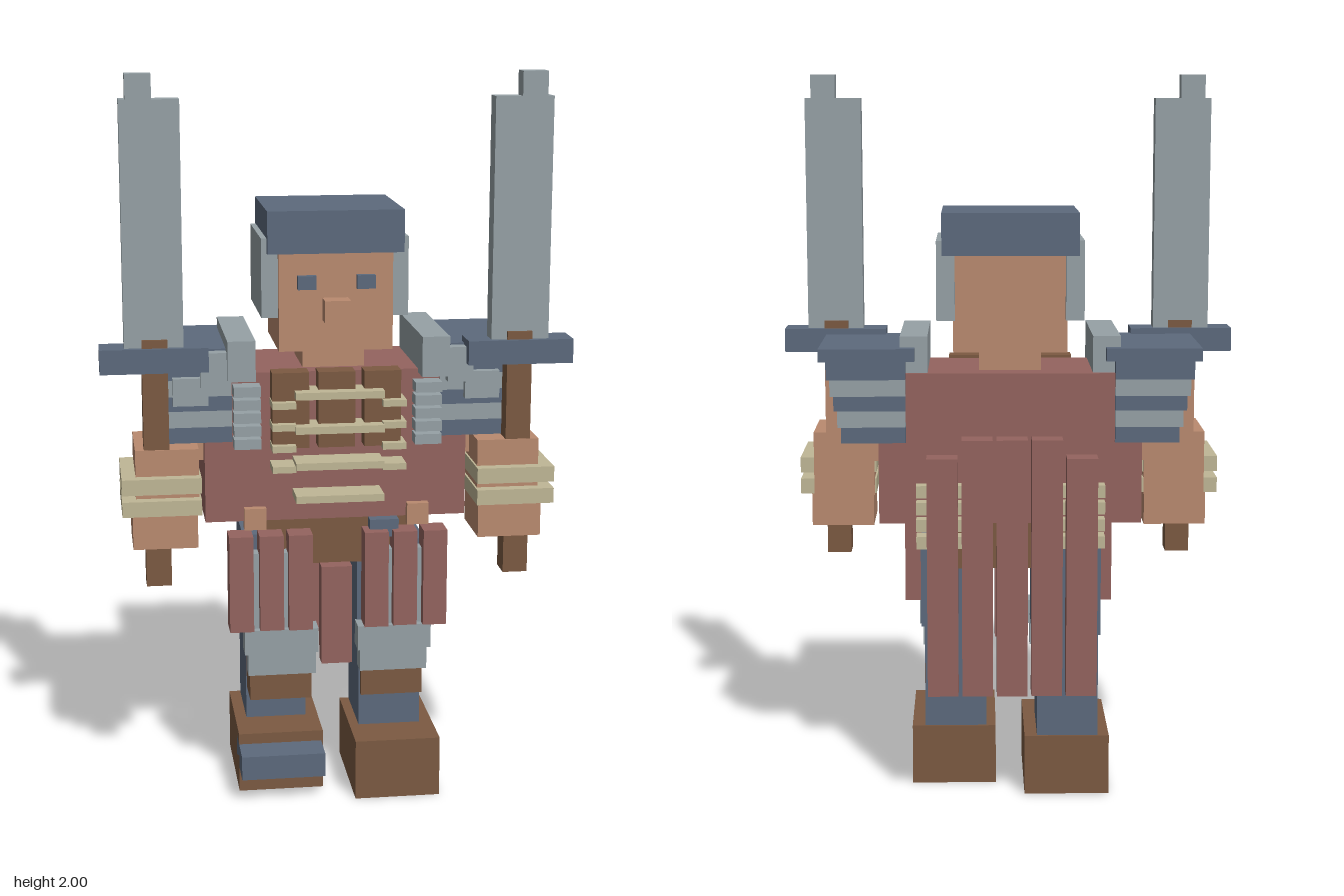
import * as THREE from 'three';

const mat = (name, color) => {
  const m = new THREE.MeshStandardMaterial({ color });
  m.name = name;
  return m;
};

export function createModel() {
  const root = new THREE.Group();
  root.name = 'blockyWarrior';
  const skin = mat('skin', 0xba8b70);
  const blue = mat('blueCloth', 0x5d6a7d);
  const steel = mat('steel', 0x96a1a6);
  const red = mat('redCloth', 0x94645f);
  const brown = mat('brownLeather', 0x7c5a42);
  const cream = mat('creamBinding', 0xc0b796);

  // Box from its minimum and maximum on each axis
  const box = (name, m, x0, x1, y0, y1, z0, z1) => {
    const mesh = new THREE.Mesh(new THREE.BoxGeometry(x1 - x0, y1 - y0, z1 - z0), m);
    mesh.position.set((x0 + x1) / 2, (y0 + y1) / 2, (z0 + z1) / 2);
    mesh.name = name;
    root.add(mesh);
  };
  // The same box on both sides of the body
  const pair = (name, m, x0, x1, ...rest) => {
    box(name + 'Left', m, x0, x1, ...rest);
    box(name + 'Right', m, -x1, -x0, ...rest);
  };

  // Head and helmet
  box('head', skin, -0.155, 0.155, 1.255, 1.53, -0.145, 0.153);
  box('neck', skin, -0.085, 0.085, 1.19, 1.26, -0.1, 0.1);
  box('nose', skin, -0.037, 0.033, 1.34, 1.4, 0.15, 0.21);
  pair('eye', blue, 0.055, 0.105, 1.425, 1.462, 0.15, 0.172);
  box('helmetTop', blue, -0.185, 0.185, 1.52, 1.635, -0.187, 0.158);
  pair('cheekGuard', steel, 0.15, 0.2, 1.345, 1.56, -0.175, 0.135);

  // Torso and waist
  box('torso', red, -0.36, 0.36, 0.785, 1.2, -0.165, 0.156);
  box('waist', brown, -0.2, 0.2, 0.655, 0.786, -0.155, 0.152);

  // Chest straps and bindings
  for (const x of [-0.13, -0.005, 0.12]) {
    box('chestStrap', brown, x - 0.05, x + 0.05, 1.0, 1.208, 0.15, 0.21);
  }
  for (const y of [1.15, 1.056, 0.956, 0.864]) {
    box('chestBinding', cream, -0.12, 0.12, y - 0.01, y + 0.01, 0.15, 0.247);
  }
  for (const y of [1.122, 1.062, 1.003, 0.946]) {
    pair('sideBinding', cream, 0.118, 0.182, y - 0.009, y + 0.009, 0.15, 0.234);
  }

  // Back bindings
  for (const y of [0.88, 0.833, 0.786, 0.738]) {
    pair('backBinding', cream, 0.08, 0.258, y - 0.017, y + 0.017, -0.205, -0.15);
  }

  // Cape strips
  for (let i = -2; i <= 2; i++) {
    const x = -0.003 + i * 0.0943;
    const top = Math.abs(i) === 2 ? 0.985 : 1.035;
    box('capeStrip', red, x - 0.042, x + 0.042, 0.325, top, -0.278, -0.213);
  }

  // Shoulder armour: layered bands that narrow downwards
  pair('shoulderTop', blue, 0.26, 0.52, 1.235, 1.27, -0.188, 0.165);
  const bands = [[1.185, 1.235, 0.5], [1.14, 1.185, 0.49], [1.1, 1.14, 0.48], [1.055, 1.1, 0.47], [1.012, 1.055, 0.46]];
  bands.forEach(([y0, y1, x1], i) => {
    pair('shoulderBand', i % 2 ? steel : blue, 0.285, x1, y0, y1, -0.183, 0.165);
  });
  pair('shoulderStrap', steel, 0.225, 0.3, 1.19, 1.3, -0.15, 0.225);
  pair('collarStep', steel, 0.3, 0.37, 1.17, 1.265, 0.1, 0.2);
  pair('collarOuterStep', steel, 0.35, 0.445, 1.12, 1.195, 0.1, 0.19);
  for (let i = 0; i < 5; i++) {
    const y = 1.0 + i * 0.036;
    pair('chestScale', steel, 0.21, 0.283, y, y + 0.028, 0.15, 0.21);
  }

  // Arms and wrist bindings
  pair('upperArm', skin, 0.3, 0.506, 0.95, 1.235, -0.115, 0.11);
  pair('forearm', skin, 0.38, 0.55, 0.83, 1.01, 0.0, 0.225);
  pair('hand', skin, 0.385, 0.56, 0.735, 0.84, 0.04, 0.225);
  pair('lowerWristBinding', cream, 0.375, 0.588, 0.835, 0.877, 0.005, 0.257);
  pair('upperWristBinding', cream, 0.375, 0.588, 0.895, 0.938, 0.005, 0.257);

  // Swords
  pair('swordHandle', brown, 0.458, 0.526, 0.63, 1.308, 0.15, 0.222);
  pair('swordGuard', blue, 0.35, 0.638, 1.22, 1.286, 0.138, 0.232);
  pair('swordBlade', steel, 0.415, 0.572, 1.286, 1.935, 0.156, 0.214);
  pair('swordTip', steel, 0.487, 0.555, 1.935, 2.0, 0.156, 0.214);

  // Legs and boots, the left one a step ahead
  const leg = (side, a, b, dz) => {
    const xs = (p, q) => (a > 0 ? [p, q] : [-q, -p]);
    box('thigh' + side, blue, ...xs(0.06, 0.25), 0.465, 0.715, -0.165 + dz, 0.055 + dz);
    box('shin' + side, blue, ...xs(a > 0 ? a : -b, a > 0 ? b : -a), 0.165, 0.47, -0.15 + dz, 0.055 + dz);
    box('boot' + side, brown, ...xs(0.04, 0.277), 0, 0.17, -0.155 + dz, 0.18 + dz);
  };
  leg('Left', 0.066, 0.24, 0.095);
  leg('Right', -0.245, -0.075, 0);
  box('bootPlateRight', blue, -0.277, -0.045, 0.072, 0.14, 0.1, 0.274);
  pair('shinWrap', brown, 0.07, 0.243, 0.265, 0.36, 0.04, 0.166);

  // Skirt plates over knee guards
  for (const [i, x] of [0.105, 0.185, 0.268].entries()) {
    pair('skirtStrip', red, x - 0.033, x + 0.033, 0.485 + (i === 1 ? 0.002 : 0), 0.757, 0.145, 0.22);
  }
  pair('kneeBacking', steel, 0.075, 0.25, 0.41, 0.7, 0.15, 0.19);
  pair('lowerKneeGuard', steel, 0.062, 0.25, 0.35, 0.412, 0.145, 0.2);
  pair('upperKneeGuard', steel, 0.055, 0.26, 0.414, 0.484, 0.145, 0.208);
  box('frontFlap', red, -0.045, 0.04, 0.375, 0.656, 0.14, 0.195);

  // Belt fittings
  pair('beltTab', skin, 0.195, 0.255, 0.765, 0.825, 0.14, 0.18);
  box('beltPouch', blue, 0.09, 0.17, 0.735, 0.785, 0.14, 0.19);

  return root;
}
